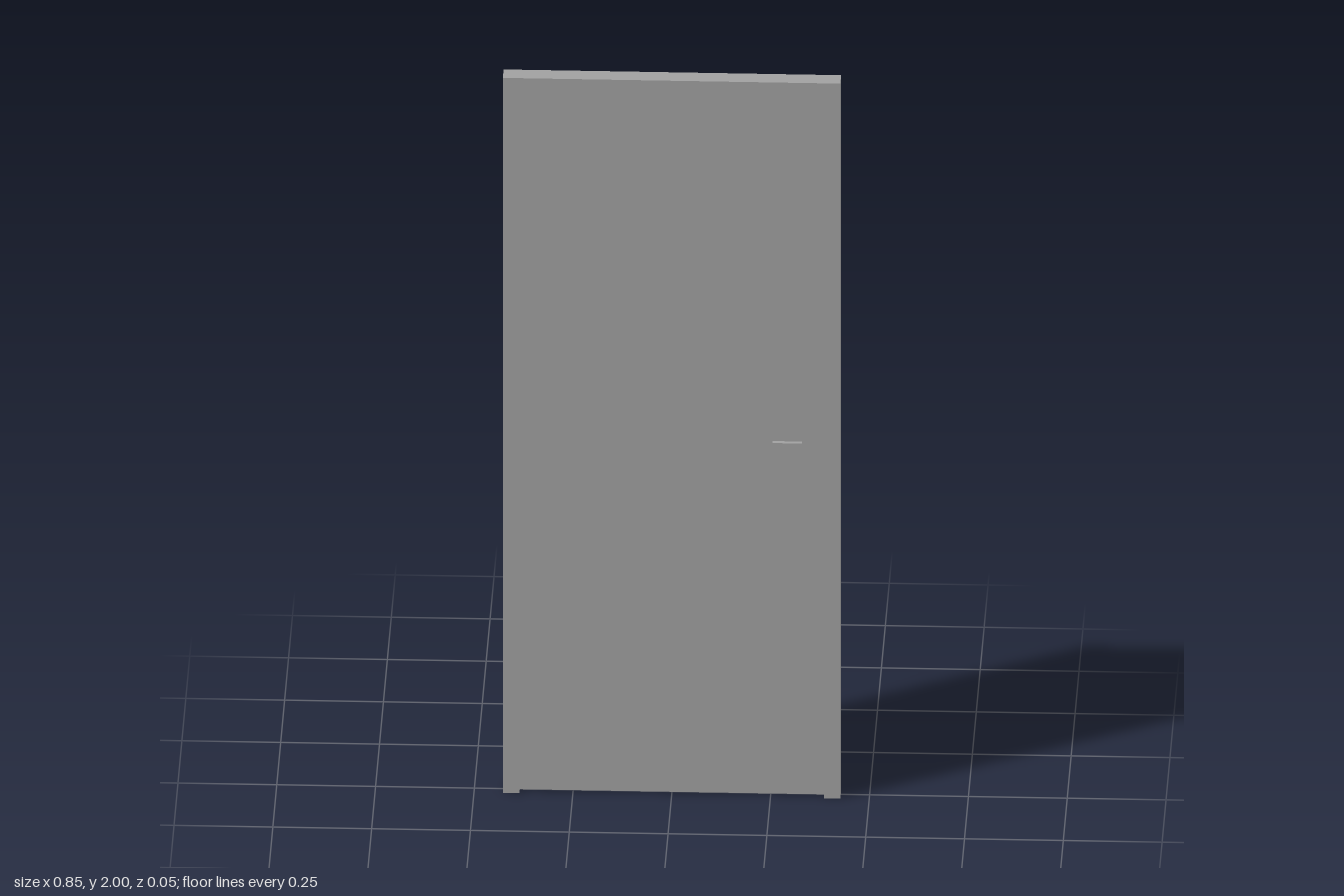
import * as THREE from 'three';

export function createModel() {
  const model = new THREE.Group();
  model.name = 'door';
  const grey = new THREE.MeshStandardMaterial({ color: 0xa0a0a0 });
  grey.name = 'grey';

  const W = 0.427, H = 2, D = 0.05; // frame half width, height, depth
  const w = 0.385, h = 1.96;        // opening half width and height

  // Frame: two jambs and a head in one extruded outline
  const outline = new THREE.Shape([
    [-W, 0], [-w, 0], [-w, h], [w, h], [w, 0], [W, 0], [W, H], [-W, H],
  ].map(([x, y]) => new THREE.Vector2(x, y)));
  const frameGeometry = new THREE.ExtrudeGeometry(outline, { depth: D, bevelEnabled: false });
  frameGeometry.translate(0, 0, -D / 2);
  const frame = new THREE.Mesh(frameGeometry, grey);
  frame.name = 'doorFrame';
  model.add(frame);

  // Box given by its lower and upper corners
  function box(name, [x0, y0, z0], [x1, y1, z1]) {
    const mesh = new THREE.Mesh(new THREE.BoxGeometry(x1 - x0, y1 - y0, z1 - z0), grey);
    mesh.position.set((x0 + x1) / 2, (y0 + y1) / 2, (z0 + z1) / 2);
    mesh.name = name;
    model.add(mesh);
  }

  // Leaf set back inside the frame, with a small gap at the floor
  box('doorLeaf', [-w, 0.005, -0.0125], [w, h, 0.0125]);

  // Handle block on the front only
  box('handle', [0.255, 0.957, 0.012], [0.33, 0.991, 0.0245]);

  return model;
}
